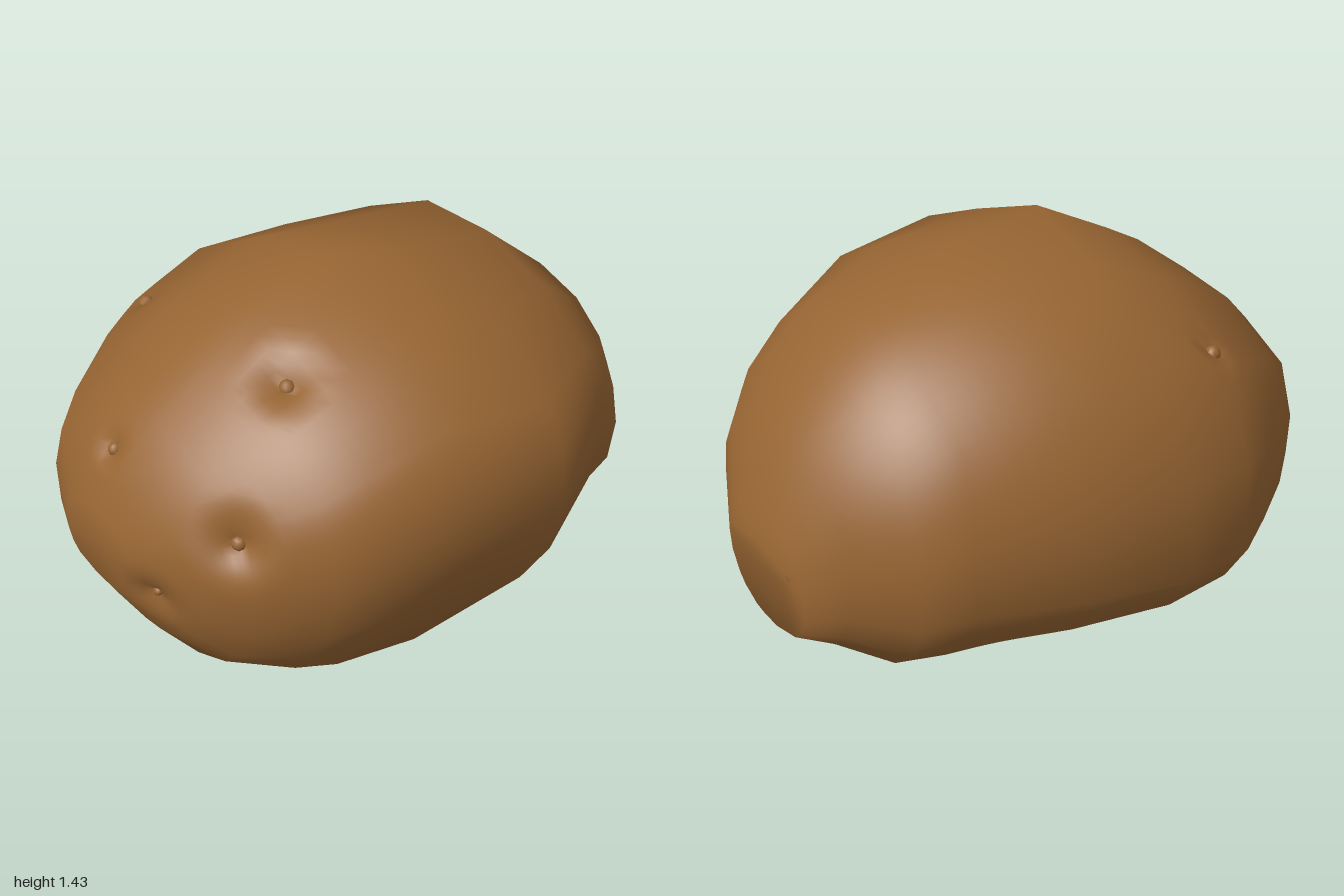
import * as THREE from 'three';

const skin = new THREE.MeshStandardMaterial({ color: 0x966432 });
skin.name = 'brown skin';

// Lumpy middle cross-section, clockwise from the top [x, y]
const OUTLINE = [
  [0.05, 1.43], [0.40, 1.285], [0.71, 1.14], [0.79, 0.97], [0.81, 0.76], [0.73, 0.52], [0.61, 0.29],
  [0.54, 0.14], [0.30, 0.0], [0.12, 0.05], [-0.16, 0.03], [-0.54, 0.17], [-0.72, 0.27],
  [-0.85, 0.45], [-0.785, 0.79], [-0.62, 1.13], [-0.29, 1.33],
].map(([x, y]) => [(x + 0.85) / 1.66, y / 1.43]);

// Stations from back to front: z, xMin, xMax, yMin, yMax
const STATIONS = [
  [-1.0, -0.08, -0.08, 0.59, 0.59],
  [-1.0, -0.27, 0.11, 0.54, 0.63],
  [-0.97, -0.31, 0.18, 0.30, 0.71],
  [-0.87, -0.43, 0.38, 0.25, 0.96],
  [-0.71, -0.59, 0.57, 0.15, 1.10],
  [-0.55, -0.66, 0.64, 0.13, 1.24],
  [-0.19, -0.765, 0.845, 0.065, 1.34],
  [0.17, -0.85, 0.81, 0.0, 1.43],
  [0.45, -0.78, 0.725, 0.03, 1.28],
  [0.60, -0.69, 0.67, 0.09, 1.19],
  [0.79, -0.56, 0.50, 0.16, 1.04],
  [0.89, -0.48, 0.36, 0.28, 0.92],
  [1.0, -0.24, 0.13, 0.48, 0.76],
  [1.0, -0.05, -0.05, 0.62, 0.62],
];

// Eyes: position, pit radius, pit depth, bud radius
const EYES = [
  [0.39, 0.79, 0.74, 0.18, 0.065, 0.027],
  [0.17, 0.545, 0.94, 0.15, 0.04, 0.018],
  [-0.11, 0.89, 0.86, 0.10, 0.03, 0.025],
  [-0.53, 1.08, 0.43, 0.09, 0.02, 0.028],
  [0.26, 1.19, 0.46, 0.17, 0.06, 0.028],
];

const M = OUTLINE.length, N = STATIONS.length, SUB = 6;

// Index for a grid whose rings close on themselves
function gridIndex(rings, around) {
  const index = [];
  for (let i = 0; i < rings - 1; i++) {
    for (let j = 0; j < around; j++) {
      const k = (j + 1) % around;
      const a = i * around + j, b = i * around + k, c = a + around, d = b + around;
      index.push(a, c, b, b, c, d);
    }
  }
  return index;
}

// Outline at a station: lumpy in the middle, rounder at the ends and fuller on the right flank
function section([z, x0, x1, y0, y1]) {
  const w = 0.92 * Math.min(1, Math.abs(z - 0.17) / 0.7);
  const ring = OUTLINE.map(([u, v]) => {
    const dx = u - 0.5, dy = v - 0.5, power = dx < 0 ? 2.7 : 2.1;
    const k = 0.5 / (Math.abs(dx) ** power + Math.abs(dy) ** power) ** (1 / power);
    const s = 1 + (k - 1) * w;
    return [dx * s, dy * s];
  });
  const fit = (axis, lo, hi) => {
    const values = ring.map((p) => p[axis]);
    const min = Math.min(...values), max = Math.max(...values);
    return values.map((v) => lo + (hi - lo) * (v - min) / (max - min));
  };
  const xs = fit(0, x0, x1), ys = fit(1, y0, y1);
  return xs.flatMap((x, j) => [x, ys[j], z]);
}

// Coarse rings with soft normals
function coarseGrid() {
  const geo = new THREE.BufferGeometry();
  geo.setAttribute('position', new THREE.Float32BufferAttribute(STATIONS.flatMap(section), 3));
  geo.setIndex(gridIndex(N, M));
  geo.computeVertexNormals();
  const normal = geo.attributes.normal;
  for (let j = 0; j < M; j++) {
    normal.setXYZ(j, 0, 0, -1);
    normal.setXYZ((N - 1) * M + j, 0, 0, 1);
  }
  // Average each normal with its neighbours
  for (let pass = 0; pass < 2; pass++) {
    const old = normal.clone();
    const at = (i, j) => new THREE.Vector3().fromBufferAttribute(old, i * M + (j + M) % M);
    for (let i = 1; i < N - 1; i++) {
      for (let j = 0; j < M; j++) {
        const n = at(i, j).multiplyScalar(2).add(at(i - 1, j)).add(at(i + 1, j))
          .add(at(i, j - 1)).add(at(i, j + 1)).normalize();
        normal.setXYZ(i * M + j, n.x, n.y, n.z);
      }
    }
  }
  return geo;
}

// Blend an attribute between the four corners of a coarse cell
function sample(attr, i, j, s, t) {
  const at = (r, c) => new THREE.Vector3().fromBufferAttribute(attr, r * M + (c % M));
  const i1 = Math.min(i + 1, N - 1);
  return at(i, j).lerp(at(i, j + 1), t).lerp(at(i1, j).lerp(at(i1, j + 1), t), s);
}

export function createModel() {
  const group = new THREE.Group();
  group.name = 'potato';

  // Refine the coarse rings so the pits have enough vertices
  const coarse = coarseGrid();
  const points = [], normals = [];
  const rings = (N - 1) * SUB + 1, around = M * SUB;
  for (let r = 0; r < rings; r++) {
    for (let c = 0; c < around; c++) {
      const args = [Math.floor(r / SUB), Math.floor(c / SUB), (r % SUB) / SUB, (c % SUB) / SUB];
      points.push(sample(coarse.attributes.position, ...args));
      normals.push(sample(coarse.attributes.normal, ...args).normalize());
    }
  }

  EYES.forEach(([x, y, z, radius, depth, size], e) => {
    // Snap the eye to the nearest point of the skin
    const target = new THREE.Vector3(x, y, z);
    let best = 0;
    points.forEach((p, i) => {
      if (p.distanceToSquared(target) < points[best].distanceToSquared(target)) best = i;
    });
    const centre = points[best].clone(), axis = normals[best].clone();

    // Press the pit into the skin and tilt its normals inward
    points.forEach((p, i) => {
      const away = p.clone().sub(centre), dist = away.length();
      if (dist >= radius) return;
      const f = 1 - dist / radius;
      p.addScaledVector(axis, -depth * f * f);
      if (dist > 1e-4) normals[i].addScaledVector(away, -2 * depth * f / (radius * dist)).normalize();
    });

    // Small bud at the bottom of the pit
    const bud = new THREE.Mesh(new THREE.SphereGeometry(size, 8, 6), skin);
    bud.name = 'eyeBud' + (e + 1);
    bud.position.copy(centre).addScaledVector(axis, -depth * 0.9);
    bud.quaternion.setFromUnitVectors(new THREE.Vector3(0, 1, 0), axis);
    group.add(bud);
  });

  // Body
  const geo = new THREE.BufferGeometry().setFromPoints(points);
  geo.setAttribute('normal', new THREE.Float32BufferAttribute(normals.flatMap((n) => n.toArray()), 3));
  geo.setIndex(gridIndex(rings, around));
  const body = new THREE.Mesh(geo, skin);
  body.name = 'body';
  group.add(body);
  return group;
}
